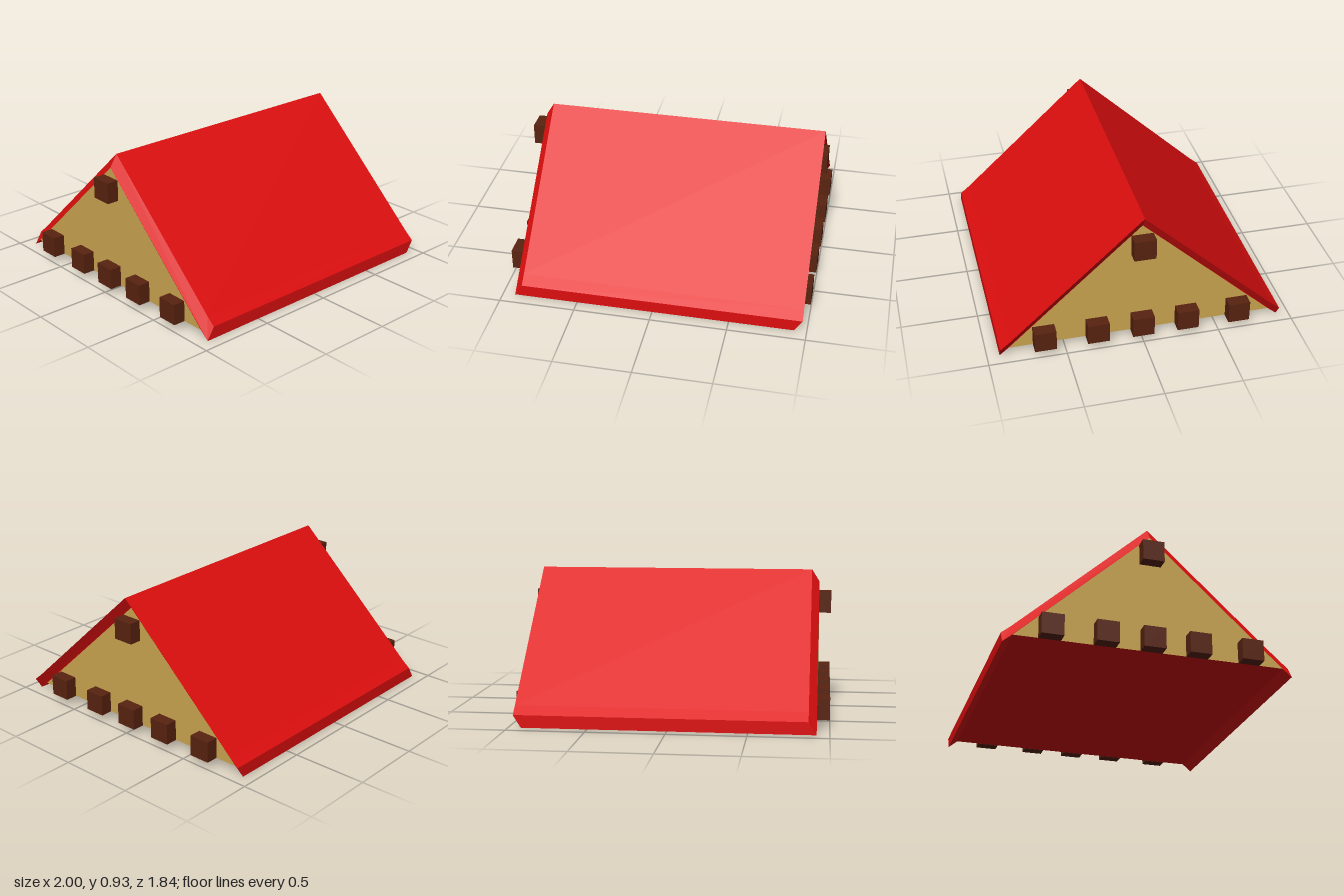
import * as THREE from 'three';

const red = new THREE.MeshStandardMaterial({ name: 'roofRed', color: 0xdd0e0e });
const tan = new THREE.MeshStandardMaterial({ name: 'gableTan', color: 0xcba550 });
const brown = new THREE.MeshStandardMaterial({ name: 'beamBrown', color: 0x59230f });

const HALF = 0.92; // half length along x

// Extrude a (z, y) profile along x, centred on x = 0
function prism(points) {
  const shape = new THREE.Shape(points.map(([z, y]) => new THREE.Vector2(z, y)));
  const geometry = new THREE.ExtrudeGeometry(shape, { depth: 2 * HALF, bevelEnabled: false });
  return geometry.translate(0, 0, -HALF).rotateY(Math.PI / 2);
}

export function createModel() {
  const model = new THREE.Group();
  model.name = 'gableRoof';

  // Roof shell: two slopes with slightly flared eaves
  const outer = [[-0.92, 0.08], [-0.86, 0.13], [0, 0.93], [0.86, 0.13], [0.92, 0.08]];
  const inner = outer.map(([z, y]) => [z, y - 0.08]).reverse();
  const roofGeometry = prism([...outer, ...inner]);

  // Slant the ends: the outer skin sits further along +x than the underside
  const p = roofGeometry.attributes.position;
  for (let i = 0; i < p.count; i++) {
    const isOuter = outer.some(([z, y]) =>
      Math.abs(z - p.getZ(i)) < 0.001 && Math.abs(y - p.getY(i)) < 0.001);
    if (isOuter) p.setX(i, p.getX(i) + 0.05);
  }
  roofGeometry.computeVertexNormals();
  const roof = new THREE.Mesh(roofGeometry, red);
  roof.name = 'roofShell';
  model.add(roof);

  // Attic body: tan gable ends, red underside
  const attic = new THREE.Mesh(prism([[-0.86, 0.05], [0, 0.85], [0.86, 0.05]]), [tan, red]);
  attic.name = 'gablesAndFloor';
  model.add(attic);

  // Beam ends protruding from both gables
  const beamGeometry = new THREE.BoxGeometry(0.08, 0.138, 0.14);
  const beams = [[-0.635, 0.118], [-0.294, 0.118], [0, 0.118], [0.294, 0.118], [0.635, 0.118], [0, 0.715]];
  for (const side of [-1, 1]) {
    for (const [z, y] of beams) {
      const beam = new THREE.Mesh(beamGeometry, brown);
      beam.name = y > 0.5 ? 'ridgeBeamEnd' : 'floorBeamEnd';
      beam.position.set(side * 0.96, y, z);
      model.add(beam);
    }
  }
  return model;
}
